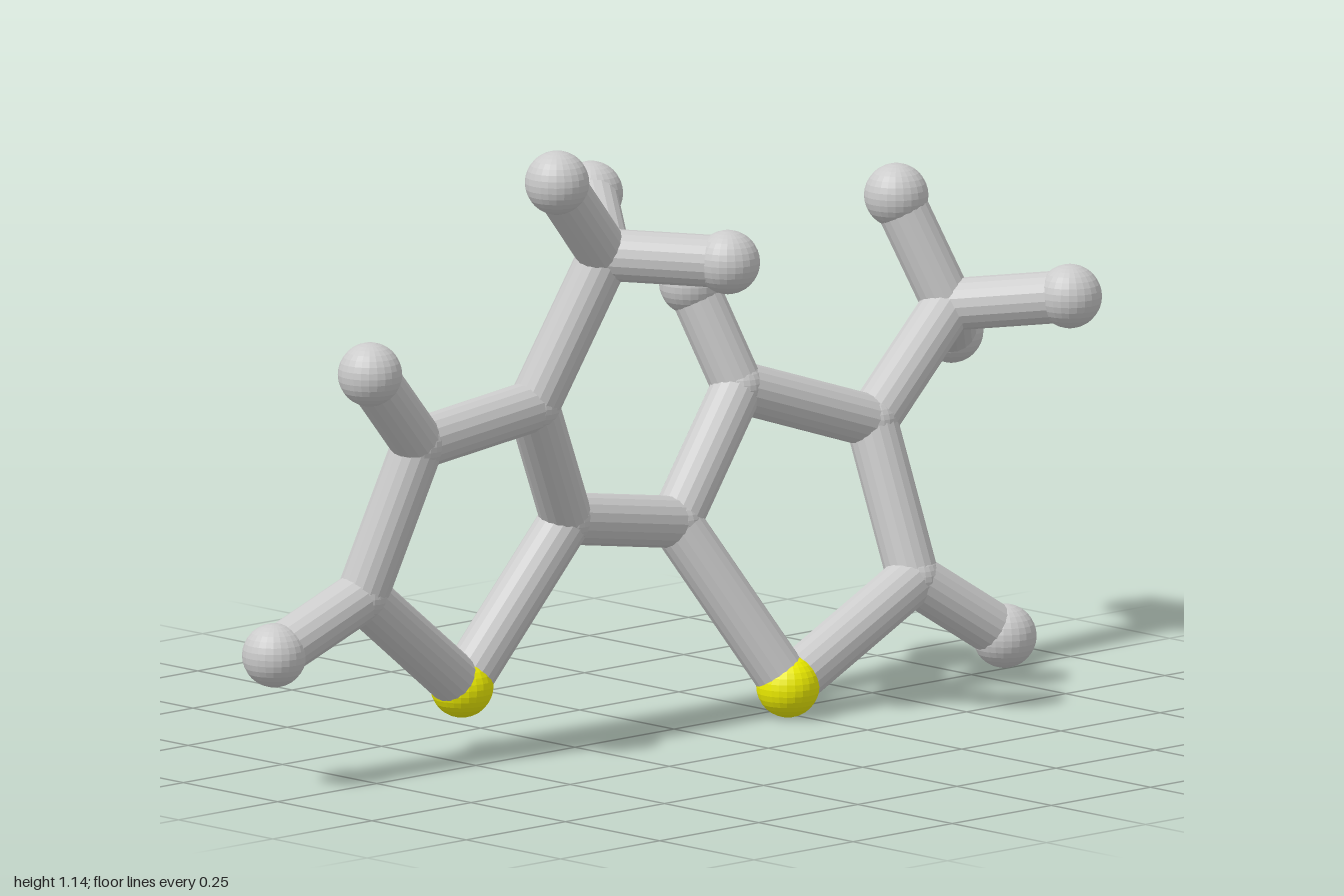
import * as THREE from 'three';

const BOND_RADIUS = 0.048;

// Atom centres by element: the two rings, their hydrogens and methyl groups
const carbons = {
  c2: [-0.205, 0.41, -0.07], c3: [-0.355, 0.65, 0], c4: [-0.65, 0.62, 0.005], c5: [-0.735, 0.34, -0.055],
  methylA: [-0.237, 0.925, 0.065],
  d2: [0.075, 0.365, -0.075], d3: [0.27, 0.585, -0.115], d4: [0.555, 0.49, -0.06], d5: [0.565, 0.21, 0.04],
  methylB: [0.787, 0.67, -0.1],
};
const sulfurs = { s1: [-0.445, 0.127, -0.095], s2: [0.23, 0.058, 0.06] };
const hydrogens = {
  h4: [-0.805, 0.775, 0.04], h5: [-0.942, 0.255, -0.07],
  a1: [-0.395, 1.086, 0.105], a2: [-0.105, 0.92, 0.253], a3: [-0.108, 0.998, -0.107],
  k3: [0.222, 0.775, -0.188], k5: [0.74, 0.088, 0.098],
  b1: [0.725, 0.872, -0.173], b2: [0.905, 0.698, 0.098], b3: [0.937, 0.58, -0.25],
};

// Bonds grouped by the part they belong to
const bonds = {
  leftRingBond: ['s1 c2', 'c2 c3', 'c3 c4', 'c4 c5', 'c5 s1'],
  rightRingBond: ['s2 d2', 'd2 d3', 'd3 d4', 'd4 d5', 'd5 s2'],
  bridgeBond: ['c2 d2'],
  methylStem: ['c3 methylA', 'd4 methylB'],
  hydrogenBond: ['c4 h4', 'c5 h5', 'd3 k3', 'd5 k5', 'methylA a1', 'methylA a2', 'methylA a3',
    'methylB b1', 'methylB b2', 'methylB b3'],
};

export function createModel() {
  const model = new THREE.Group();
  model.name = 'molecule';
  const grey = new THREE.MeshStandardMaterial({ color: 0xcccccc, flatShading: true });
  const yellow = new THREE.MeshStandardMaterial({ color: 0xf0f000, flatShading: true });
  const centres = {};

  // Atoms
  const addAtoms = (atoms, name, radius, material) => {
    const geometry = new THREE.SphereGeometry(radius, 24, 16);
    for (const [key, p] of Object.entries(atoms)) {
      const ball = new THREE.Mesh(geometry, material);
      ball.name = name;
      ball.position.set(...p);
      centres[key] = ball.position;
      model.add(ball);
    }
  };
  addAtoms(carbons, 'carbonJoint', 0.05, grey);
  addAtoms(sulfurs, 'sulfurAtom', 0.058, yellow);
  addAtoms(hydrogens, 'hydrogenAtom', 0.059, grey);

  // Bonds: a cylinder from one atom centre to the next
  const up = new THREE.Vector3(0, 1, 0);
  for (const [name, pairs] of Object.entries(bonds)) {
    for (const pair of pairs) {
      const [a, b] = pair.split(' ').map((key) => centres[key]);
      const axis = b.clone().sub(a);
      const rod = new THREE.Mesh(new THREE.CylinderGeometry(BOND_RADIUS, BOND_RADIUS, axis.length(), 18), grey);
      rod.name = name;
      rod.position.copy(a).add(b).multiplyScalar(0.5);
      rod.quaternion.setFromUnitVectors(up, axis.normalize());
      model.add(rod);
    }
  }
  return model;
}
